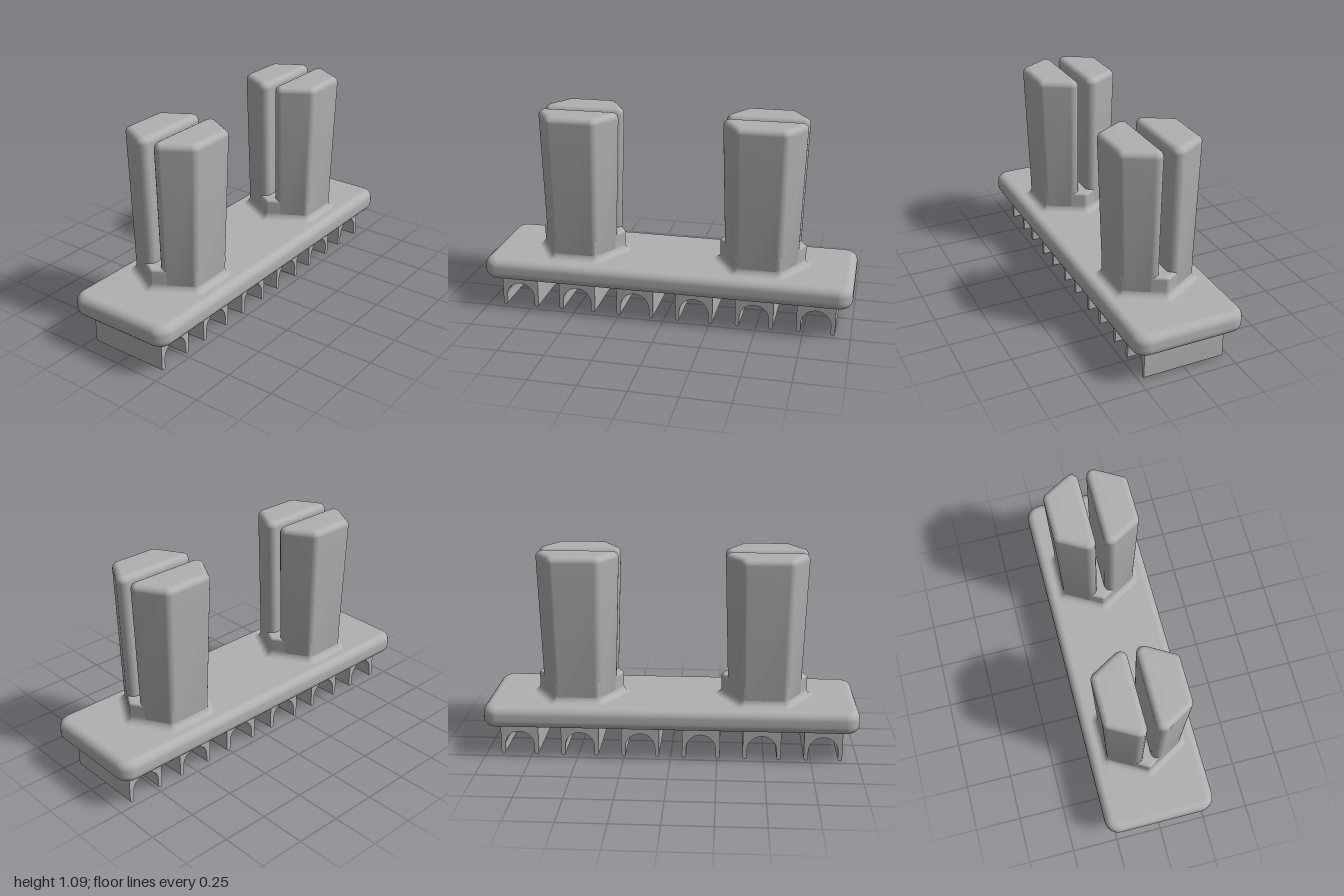
import * as THREE from 'three';
import { toCreasedNormals } from 'three/addons/utils/BufferGeometryUtils.js';

const gray = new THREE.MeshStandardMaterial({ color: 0xb0b0b0 });
gray.name = 'plain gray';

const rad = THREE.MathUtils.degToRad;
const ARC = 6;

// Convex outline in x/z with round corners; edges are [normal angle in degrees, distance from origin]
function roundedRing(edges, radius, inset) {
  const points = [];
  const r = Math.max(radius - inset, 0.004);
  edges.forEach(([deg, dist], i) => {
    const [nextDeg, nextDist] = edges[(i + 1) % edges.length];
    const a = rad(deg);
    let b = rad(nextDeg);
    if (b < a) b += Math.PI * 2;
    // Corner arc centre: where the two edges meet after moving inwards by r
    const d1 = dist - inset - r, d2 = nextDist - inset - r, s = Math.sin(b - a);
    const cx = (d1 * Math.sin(b) - d2 * Math.sin(a)) / s;
    const cz = (d2 * Math.cos(a) - d1 * Math.cos(b)) / s;
    for (let k = 0; k <= ARC; k++) {
      const t = a + (b - a) * k / ARC;
      points.push([cx + r * Math.cos(t), cz + r * Math.sin(t)]);
    }
  });
  return points;
}

// Skin stacked rings {y, points} into a closed solid
function loft(layers) {
  const n = layers[0].points.length, pos = [], index = [];
  layers.forEach(({ y, points }) => points.forEach(([x, z]) => pos.push(x, y, z)));
  for (let l = 0; l < layers.length - 1; l++) {
    for (let i = 0; i < n; i++) {
      const a = l * n + i, b = l * n + (i + 1) % n, c = a + n, d = b + n;
      index.push(a, c, b, b, c, d);
    }
  }
  const addCap = (l, top) => {
    const { y, points } = layers[l], centre = pos.length / 3;
    const mean = k => points.reduce((sum, p) => sum + p[k], 0) / n;
    pos.push(mean(0), y, mean(1));
    for (let i = 0; i < n; i++) {
      const a = l * n + i, b = l * n + (i + 1) % n;
      if (top) index.push(centre, b, a);
      else index.push(centre, a, b);
    }
  };
  addCap(0, false);
  addCap(layers.length - 1, true);
  const g = new THREE.BufferGeometry();
  g.setAttribute('position', new THREE.Float32BufferAttribute(pos, 3));
  g.setIndex(index);
  g.computeVertexNormals();
  return g;
}

// Quarter-round steps: [inset, height below the top] from the wall to the top face
function topRounding(r) {
  return Array.from({ length: ARC + 1 }, (_, k) => {
    const t = k / ARC * Math.PI / 2;
    return [r * (1 - Math.cos(t)), r * (1 - Math.sin(t))];
  });
}

// Half width of the hexagonal posts, widening upwards
const halfWidth = y => 0.203 + (y - 0.295) * 0.028;

function plateGeometry() {
  const edges = [[0, 0.3], [90, 1], [180, 0.3], [270, 1]];
  const upper = topRounding(0.045);
  const layer = (y, inset) => ({ y, points: roundedRing(edges, 0.075, inset) });
  return loft([
    ...upper.slice().reverse().map(([inset, drop]) => layer(0.175 + drop, inset)),
    ...upper.map(([inset, drop]) => layer(0.295 - drop, inset)),
  ]);
}

// Hexagonal foot with a flared fillet onto the plate
function footGeometry() {
  const layer = (y, inset) => {
    const a = halfWidth(y) - 0.001;
    const edges = [30, 90, 150, 210, 270, 330].map(d => [d - 30, a]);
    return { y, points: roundedRing(edges, 0.02, inset) };
  };
  const layers = [layer(0.285, -0.04)];
  for (let k = 0; k <= ARC; k++) {
    const t = k / ARC * Math.PI / 2;
    layers.push(layer(0.294 + 0.04 * (1 - Math.cos(t)), -0.04 * (1 - Math.sin(t))));
  }
  topRounding(0.016).forEach(([inset, drop]) => layers.push(layer(0.413 - drop, inset)));
  return loft(layers);
}

// Half-hexagon prong on one side of the slot
function prongGeometry() {
  const layer = (y, inset) => {
    const a = halfWidth(y);
    const edges = [[0, a], [60, a], [180, -0.022], [300, a]];
    return { y, points: roundedRing(edges, 0.037, inset) };
  };
  return loft([
    layer(0.285, 0),
    ...topRounding(0.033).map(([inset, drop]) => layer(1.092 - drop, inset)),
  ]);
}

// Arched clip with two thin, round-tipped legs, running across the plate
function clipGeometry() {
  const outer = 0.102, inner = 0.079, tip = (outer - inner) / 2, mid = (outer + inner) / 2;
  const s = new THREE.Shape();
  s.moveTo(-outer, 0.18);
  s.lineTo(-outer, tip);
  s.absarc(-mid, tip, tip, Math.PI, Math.PI * 2, false);
  s.lineTo(-inner, 0.053);
  s.absarc(0, 0.053, inner, Math.PI, 0, true);
  s.lineTo(inner, tip);
  s.absarc(mid, tip, tip, Math.PI, Math.PI * 2, false);
  s.lineTo(outer, 0.18);
  s.closePath();
  const g = new THREE.ExtrudeGeometry(s, { depth: 0.44, bevelEnabled: false, curveSegments: 20 });
  g.translate(0, 0, -0.22);
  g.rotateY(Math.PI / 2);
  return toCreasedNormals(g, 0.4);
}

export function createModel() {
  const model = new THREE.Group();
  model.name = 'slottedPostConnector';
  const add = (parent, name, geometry) => {
    const mesh = new THREE.Mesh(geometry, gray);
    mesh.name = name;
    parent.add(mesh);
    return mesh;
  };

  add(model, 'basePlate', plateGeometry());

  // Two split posts
  const foot = footGeometry(), prong = prongGeometry();
  for (const z of [0.5, -0.5]) {
    const post = new THREE.Group();
    post.name = z > 0 ? 'frontPost' : 'backPost';
    post.position.z = z;
    add(post, 'postFoot', foot);
    add(post, 'leftProng', prong);
    add(post, 'rightProng', prong).rotation.y = Math.PI;
    model.add(post);
  }

  // Row of clips underneath
  const clip = clipGeometry();
  for (let i = 0; i < 6; i++) {
    add(model, `clip${i + 1}`, clip).position.z = 0.816 - i * 0.3264;
  }
  return model;
}
